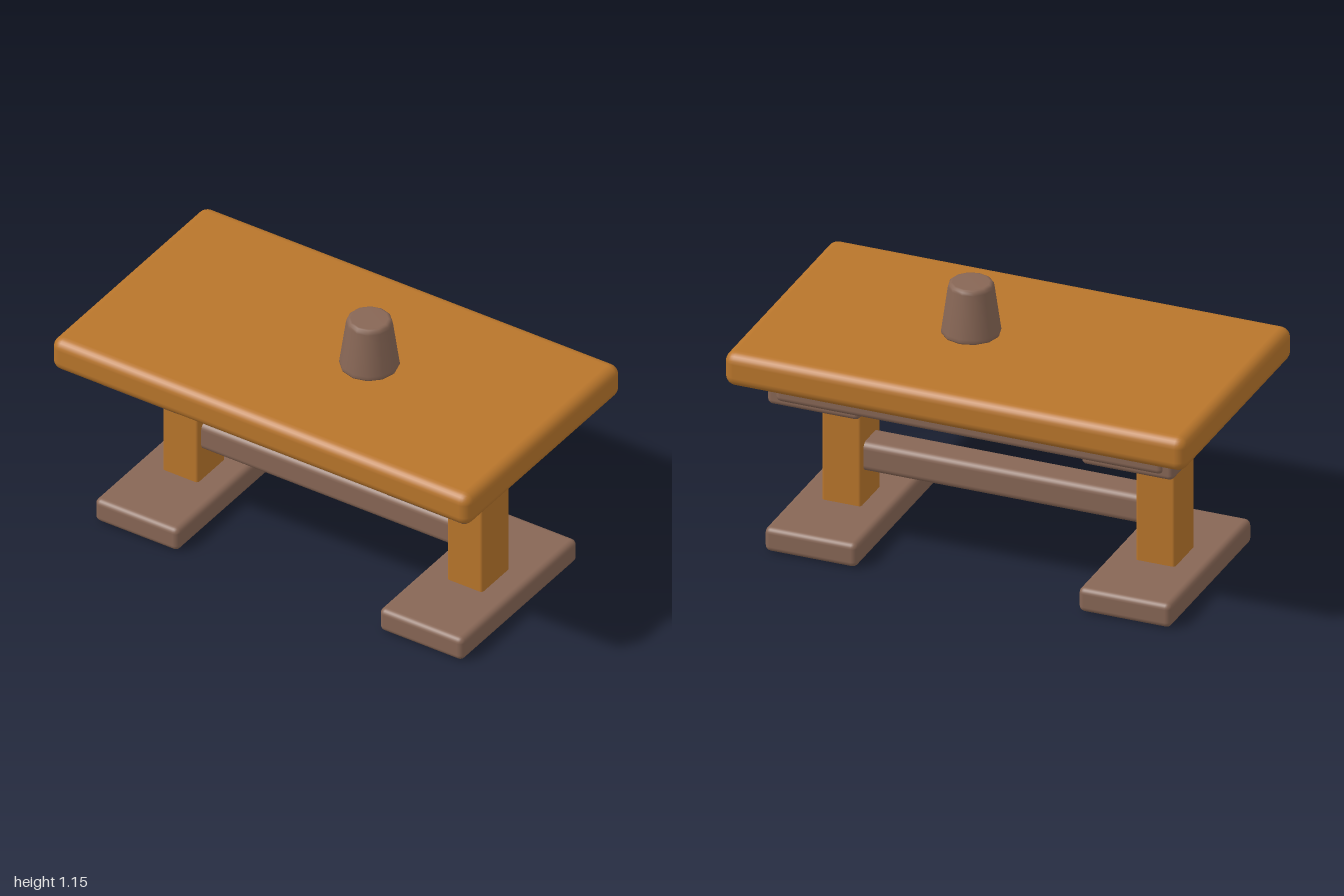
import * as THREE from 'three';
import { RoundedBoxGeometry } from 'three/addons/geometries/RoundedBoxGeometry.js';

export function createModel() {
  const table = new THREE.Group();
  table.name = 'table';

  const honeyWood = new THREE.MeshStandardMaterial({ color: 0xb8752b });
  honeyWood.name = 'honey wood';
  const darkWood = new THREE.MeshStandardMaterial({ color: 0x876655 });
  darkWood.name = 'dark wood';

  // Softly rounded block spanning y0..y1, centred on z = 0
  function block(name, material, x, width, y0, y1, depth, radius) {
    const geometry = new RoundedBoxGeometry(width, y1 - y0, depth, 3, radius);
    const mesh = new THREE.Mesh(geometry, material);
    mesh.name = name;
    mesh.position.set(x, (y0 + y1) / 2, 0);
    table.add(mesh);
  }

  // Top slab, the apron under it and the stretcher between the posts
  block('tableTop', honeyWood, 0, 2, 0.78, 0.93, 1.12, 0.045);
  block('apron', darkWood, 0, 1.68, 0.67, 0.8, 0.81, 0.025);
  block('stretcher', darkWood, 0, 1.28, 0.25, 0.38, 0.15, 0.03);

  // Trestle legs, mirrored left and right
  for (const [side, s] of [['left', 1], ['right', -1]]) {
    block(side + 'Foot', darkWood, s * 0.68, 0.4, 0, 0.107, 0.84, 0.025);
    block(side + 'Post', honeyWood, s * 0.68, 0.17, 0.08, 0.68, 0.2, 0.012);
    block(side + 'Bearer', darkWood, s * 0.68, 0.4, 0.647, 0.74, 0.785, 0.022);
  }

  // Tapered cup with eased rims, standing off centre
  const profile = [
    [0, 0.928], [0.11, 0.928], [0.118, 0.93], [0.122, 0.938], [0.12, 0.95],
    [0.094, 1.135], [0.091, 1.147], [0.083, 1.154], [0.075, 1.155], [0, 1.155],
  ].map(([r, y]) => new THREE.Vector2(r, y));
  const cup = new THREE.Mesh(new THREE.LatheGeometry(profile, 12), darkWood);
  cup.name = 'cup';
  cup.position.x = 0.16;
  table.add(cup);

  return table;
}
